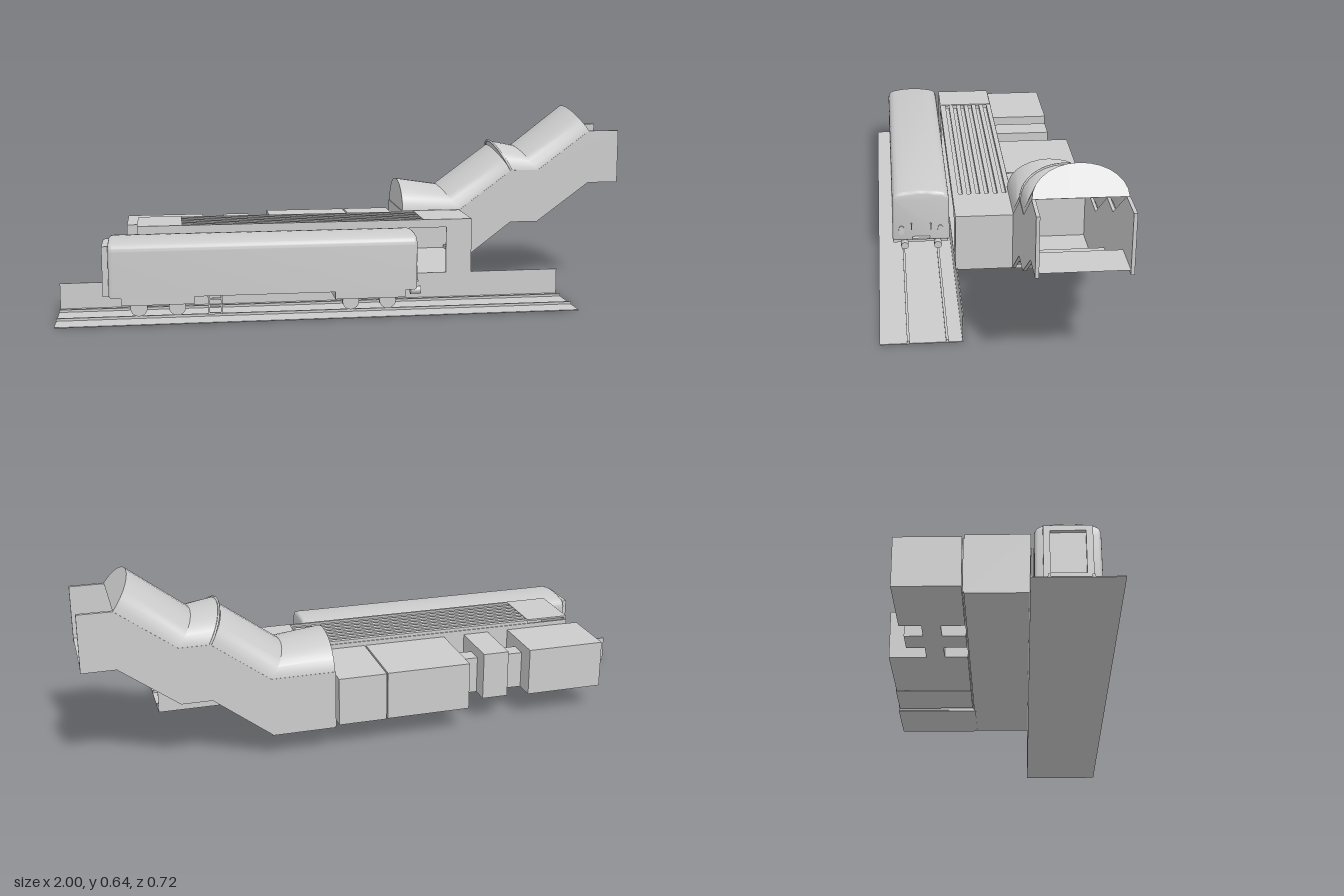
import * as THREE from 'three';
import { toCreasedNormals } from 'three/addons/utils/BufferGeometryUtils.js';

const mat = new THREE.MeshStandardMaterial({ color: 0xcccccc, side: THREE.DoubleSide });

function add(parent, name, geo) {
  const m = new THREE.Mesh(geo, mat);
  m.name = name;
  parent.add(m);
  return m;
}

// Box given by its limits on each axis
function box(parent, name, x0, x1, y0, y1, z0, z1) {
  const m = add(parent, name, new THREE.BoxGeometry(x1 - x0, y1 - y0, z1 - z0));
  m.position.set((x0 + x1) / 2, (y0 + y1) / 2, (z0 + z1) / 2);
  return m;
}

// Outline in x,y extruded along z
function plate(parent, name, pts, z0, z1) {
  const shape = new THREE.Shape(pts.map(p => new THREE.Vector2(...p)));
  const m = add(parent, name, new THREE.ExtrudeGeometry(shape, { depth: z1 - z0, bevelEnabled: false }));
  m.position.z = z0;
  return m;
}

// Surface lofted through equal-length rows of points
function loft(rows) {
  const n = rows[0].length, pos = rows.flat(2), idx = [];
  for (let i = 0; i < rows.length - 1; i++)
    for (let j = 0; j < n - 1; j++) {
      const a = i * n + j, b = a + n;
      idx.push(a, a + 1, b, b, a + 1, b + 1);
    }
  const g = new THREE.BufferGeometry();
  g.setAttribute('position', new THREE.Float32BufferAttribute(pos, 3));
  g.setIndex(idx);
  g.computeVertexNormals();
  return toCreasedNormals(g, 0.5);
}

function buildTrack() {
  const g = new THREE.Group();
  g.name = 'track';
  box(g, 'trackBed', -1, 0.72, 0, 0.003, 0.103, 0.36);
  box(g, 'platformEdgeWall', -1, 0.72, 0, 0.09, 0.101, 0.105);
  for (const z of [0.152, 0.272]) box(g, 'rail', -1, 0.72, 0.003, 0.011, z - 0.004, z + 0.004);
  return g;
}

function buildTrain() {
  const g = new THREE.Group(), zc = 0.212;
  g.name = 'train';

  // Body: rounded section with a shallow arched roof, softened ends
  const w = 0.088, s = new THREE.Shape();
  s.moveTo(-w, 0.088);
  s.lineTo(-w + 0.001, 0.228);
  s.quadraticCurveTo(-w + 0.001, 0.243, -w + 0.014, 0.247);
  s.quadraticCurveTo(0, 0.263, w - 0.014, 0.247);
  s.quadraticCurveTo(w - 0.001, 0.243, w - 0.001, 0.228);
  s.lineTo(w, 0.088);
  const geo = new THREE.ExtrudeGeometry(s, {
    depth: 0.986, bevelThickness: 0.012, bevelSize: 0.01, bevelSegments: 3, curveSegments: 8 });
  geo.rotateY(Math.PI / 2);
  const body = add(g, 'carBody', toCreasedNormals(geo, 0.6));
  body.position.set(-0.818, 0, zc);

  // Skirts and running gear
  for (const xc of [-0.673, 0.022]) {
    box(g, 'skirt', xc - 0.117, xc + 0.117, 0.053, 0.08, zc - 0.095, zc + 0.095);
    for (const dx of [-0.062, 0.062]) {
      const axle = add(g, 'axle', new THREE.CylinderGeometry(0.009, 0.009, 0.12, 10));
      axle.rotation.x = Math.PI / 2;
      axle.position.set(xc + dx, 0.042, zc);
      for (const side of [-1, 1]) {
        const wheel = add(g, 'wheel', new THREE.CylinderGeometry(0.028, 0.028, 0.018, 16));
        wheel.rotation.x = Math.PI / 2;
        wheel.position.set(xc + dx, 0.039, zc + side * 0.061);
      }
    }
  }

  // Side ladder
  for (const x of [-0.51, -0.468]) box(g, 'ladderRail', x - 0.003, x + 0.003, 0.015, 0.085, 0.296, 0.302);
  for (const y of [0.018, 0.043, 0.066]) box(g, 'ladderRung', -0.51, -0.468, y - 0.003, y + 0.003, 0.296, 0.302);

  // Details of the leading end
  for (const side of [-1, 1]) {
    const buffer = add(g, 'buffer', new THREE.CylinderGeometry(0.013, 0.013, 0.035, 14));
    buffer.rotation.z = Math.PI / 2;
    buffer.position.set(0.18, 0.068, zc + side * 0.057);
    const lamp = add(g, 'lamp', new THREE.CylinderGeometry(0.01, 0.01, 0.006, 14));
    lamp.rotation.z = Math.PI / 2;
    lamp.scale.x = 1.7;
    lamp.position.set(0.181, 0.12, zc + side * 0.067);
    const zr = zc + side * 0.033;
    box(g, 'handrail', 0.176, 0.192, 0.125, 0.146, zr - 0.002, zr + 0.002);
  }
  box(g, 'step', 0.17, 0.196, 0.09, 0.095, zc - 0.03, zc + 0.03);

  // Gangway frame on the trailing end
  box(g, 'gangwayDoor', -0.836, -0.828, 0.08, 0.24, 0.16, 0.264);
  for (const side of [-1, 1]) {
    const z = zc + side * 0.062;
    box(g, 'gangwayPost', -0.85, -0.826, 0.08, 0.245, z - 0.01, z + 0.01);
  }
  box(g, 'gangwayTop', -0.85, -0.826, 0.228, 0.245, 0.15, 0.274);
  box(g, 'gangwaySill', -0.85, -0.826, 0.08, 0.092, 0.15, 0.274);
  return g;
}

function buildHall() {
  const g = new THREE.Group();
  g.name = 'platformHall';
  box(g, 'floor', -0.74, 0.41, 0.084, 0.09, -0.09, 0.107);
  box(g, 'backWall', -0.74, 0.2, 0.09, 0.265, -0.094, -0.088);
  box(g, 'leftEndWall', 0.404, 0.41, 0.09, 0.278, -0.09, 0.107);
  box(g, 'rightEndWall', -0.74, -0.734, 0.09, 0.278, -0.09, 0.107);
  box(g, 'leftFrontWall', 0.32, 0.41, 0.09, 0.278, 0.101, 0.107);
  box(g, 'rightFrontWall', -0.74, -0.6, 0.09, 0.278, 0.101, 0.107);
  box(g, 'header', -0.6, 0.32, 0.25, 0.278, 0.101, 0.107);
  box(g, 'leftRoof', 0.24, 0.41, 0.272, 0.278, -0.09, 0.107);
  box(g, 'rightRoof', -0.74, -0.59, 0.272, 0.278, -0.09, 0.107);
  // Ribbed ceiling between the flat ends
  box(g, 'ceiling', -0.59, 0.24, 0.257, 0.262, -0.09, 0.107);
  for (let i = 0; i < 7; i++) {
    const z = -0.083 + i * 0.0295;
    box(g, 'ceilingRib', -0.59, 0.24, 0.262, 0.276, z - 0.008, z + 0.008);
  }
  return g;
}

function buildRooms() {
  const g = new THREE.Group();
  g.name = 'backRooms';
  box(g, 'endRoom', -0.78, -0.51, 0.087, 0.25, -0.3, -0.095);
  box(g, 'smallRoom', -0.435, -0.345, 0.087, 0.25, -0.29, -0.095);
  box(g, 'largeRoom', -0.27, 0.017, 0.087, 0.25, -0.352, -0.095);
  box(g, 'middleRoom', 0.022, 0.185, 0.087, 0.25, -0.355, -0.095);
  box(g, 'link', -0.51, -0.435, 0.087, 0.215, -0.23, -0.17);
  box(g, 'link', -0.345, -0.27, 0.087, 0.215, -0.23, -0.17);
  return g;
}

// Half-oval row from the wall tops up to the crown
function archRow([bx, by, tx, ty], n = 14) {
  const row = [];
  for (let i = 0; i <= n; i++) {
    const a = Math.PI * i / n, k = Math.sin(a);
    row.push([bx + (tx - bx) * k, by + (ty - by) * k, -0.22 + 0.139 * Math.cos(a)]);
  }
  return row;
}

function buildStairTunnel() {
  const g = new THREE.Group();
  g.name = 'stairTunnel';

  // Side walls
  const low = [[0.41, 0.085], [0.6, 0.23], [0.7, 0.23], [0.89, 0.37], [1, 0.37]];
  const high = [[1, 0.56], [0.89, 0.56], [0.7, 0.42], [0.6, 0.42], [0.41, 0.28]];
  plate(g, 'innerWall', [...low, ...high], -0.091, -0.08);
  plate(g, 'outerWall', [[0.2, 0.085], ...low, ...high, [0.2, 0.28]], -0.36, -0.349);
  box(g, 'entryFloor', 0.2, 0.41, 0.082, 0.09, -0.36, -0.085);
  box(g, 'entryEndWall', 0.197, 0.203, 0.085, 0.28, -0.36, -0.085);

  // Two flights, landing and top floor as one folded strip
  const line = [[0.41, 0.09]];
  const flight = (x0, y0, x1, y1, n) => {
    for (let i = 0; i < n; i++) {
      const x = x0 + (x1 - x0) * i / n, y = y0 + (y1 - y0) * (i + 1) / n;
      line.push([x, y], [x + (x1 - x0) / n, y]);
    }
  };
  flight(0.41, 0.09, 0.6, 0.24, 14);
  line.push([0.7, 0.24]);
  flight(0.7, 0.24, 0.89, 0.385, 14);
  line.push([1, 0.385]);
  add(g, 'stairs', loft(line.map(([x, y]) => [[x, y, -0.085], [x, y, -0.355]])));

  // Vaulted roofs: each row is base x, y then crown x, y
  const lower = [[0.2, 0.28, 0.2, 0.38], [0.41, 0.28, 0.35, 0.357], [0.6, 0.42, 0.545, 0.5]];
  const upper = [[0.6, 0.42, 0.55, 0.515], [0.7, 0.42, 0.64, 0.497], [0.89, 0.56, 0.83, 0.643]];
  add(g, 'lowerVault', loft(lower.map(r => archRow(r))));
  add(g, 'upperVault', loft(upper.map(r => archRow(r))));
  for (const r of [lower[0], upper[0], upper[2]]) {
    const arch = archRow(r);
    add(g, 'archPanel', loft([arch, arch.map(p => [r[0], r[1], p[2]])]));
  }
  // Rim where the vaults meet
  const rim = new THREE.CatmullRomCurve3(archRow(upper[0]).map(p => new THREE.Vector3(...p)));
  add(g, 'vaultRim', new THREE.TubeGeometry(rim, 28, 0.004, 6));
  return g;
}

export function createModel() {
  const model = new THREE.Group();
  model.name = 'undergroundStation';
  model.add(buildTrack(), buildTrain(), buildHall(), buildRooms(), buildStairTunnel());
  return model;
}
